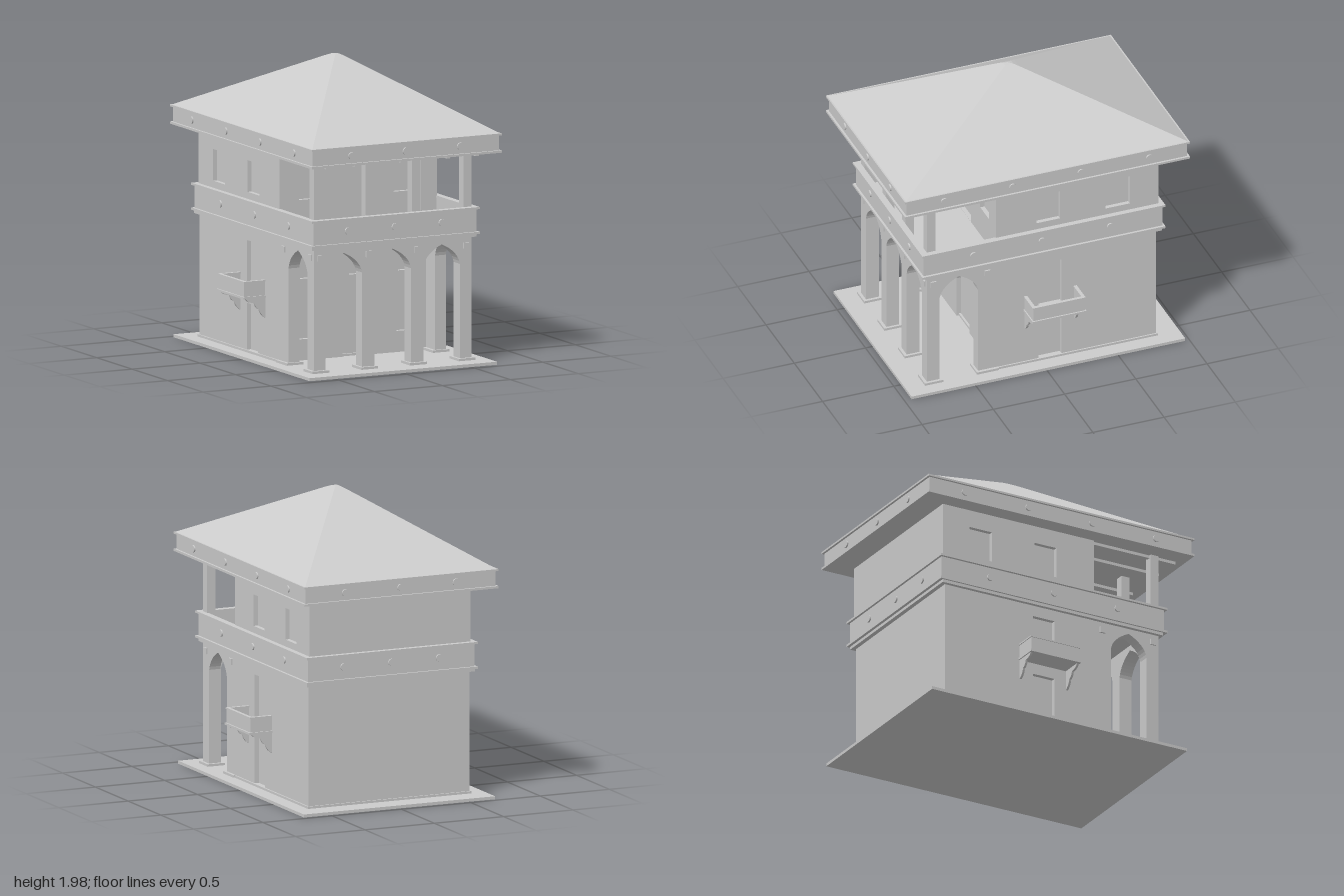
import * as THREE from 'three';

const mat = new THREE.MeshStandardMaterial({ color: 0xcccccc, flatShading: true });

export function createModel() {
  const root = new THREE.Group();
  root.name = 'house';

  const add = (name, geo) => {
    const m = new THREE.Mesh(geo, mat);
    m.name = name;
    root.add(m);
    return m;
  };
  // Box given by its limits
  const box = (name, x0, x1, y0, y1, z0, z1) =>
    add(name, new THREE.BoxGeometry(x1 - x0, y1 - y0, z1 - z0)
      .translate((x0 + x1) / 2, (y0 + y1) / 2, (z0 + z1) / 2));
  const rect = (P, u0, u1, v0, v1) => {
    const p = new P();
    p.moveTo(u0, v0).lineTo(u1, v0).lineTo(u1, v1).lineTo(u0, v1).closePath();
    return p;
  };
  const extrude = (shape, depth) =>
    new THREE.ExtrudeGeometry(shape, { depth, bevelEnabled: false, curveSegments: 8 });
  // Pointed arch from (u0, spring) over the apex to (u1, spring)
  const archTo = (p, u0, u1, spring, apex) => {
    const w = u1 - u0, h = apex - spring;
    p.lineTo(u0, spring);
    p.quadraticCurveTo(u0 + w * 0.06, spring + h * 0.62, (u0 + u1) / 2, apex);
    p.quadraticCurveTo(u1 - w * 0.06, spring + h * 0.62, u1, spring);
  };
  // Wall panel with rectangular openings [u0, u1, v0, v1]
  const panel = (u0, u1, v0, v1, openings) => {
    const s = rect(THREE.Shape, u0, u1, v0, v1);
    openings.forEach(o => s.holes.push(rect(THREE.Path, ...o)));
    return s;
  };
  // Arcade wall: a rectangle with arches cut up from its bottom edge
  const arcade = (u0, u1, bays) => {
    const s = new THREE.Shape();
    s.moveTo(u0, 0.02);
    for (const [a, b] of bays) {
      s.lineTo(a, 0.02);
      archTo(s, a, b, 0.66, 0.8);
      s.lineTo(b, 0.02);
    }
    s.lineTo(u1, 0.02).lineTo(u1, 0.84).lineTo(u0, 0.84).closePath();
    return s;
  };
  // The same wall on both sides of the house (shape u runs along z)
  const bothSides = (name, shape, depth, x) => {
    for (const side of [1, -1]) {
      add(name, extrude(shape, depth).rotateY(-Math.PI / 2))
        .position.x = side > 0 ? x : depth - x;
    }
  };
  // Horizontal rectangular frame, open in the middle
  const frame = (name, x, z0, z1, y0, y1, t) => {
    const s = panel(-x, x, -z1, -z0, [[t - x, x - t, t - z1, -z0 - t]]);
    add(name, extrude(s, y1 - y0).rotateX(-Math.PI / 2)).position.y = y0;
  };
  // Round stud facing along an axis
  const stud = (name, x, y, z, alongX) => {
    const g = new THREE.CylinderGeometry(0.024, 0.024, 0.02, 16);
    if (alongX) g.rotateZ(Math.PI / 2); else g.rotateX(Math.PI / 2);
    add(name, g.translate(x, y, z));
  };

  // Ground slab and plinth
  box('groundSlab', -0.69, 0.69, 0, 0.02, -0.97, 0.95);
  box('plinth', -0.59, 0.59, 0.015, 0.035, -0.82, 0.3);

  // Ground floor: core plus outer walls with recessed openings
  box('groundFloorCore', -0.55, 0.55, 0.02, 0.85, -0.81, 0.285);
  const front = panel(-0.58, 0.58, 0.005, 0.85, [
    [-0.445, -0.28, 0.16, 0.39], [0.28, 0.445, 0.16, 0.39],
    [-0.43, -0.29, 0.56, 0.735], [0.29, 0.43, 0.56, 0.735], [-0.07, 0.07, 0.56, 0.735]]);
  const door = new THREE.Path();
  door.moveTo(-0.115, 0.02);
  archTo(door, -0.115, 0.115, 0.31, 0.425);
  door.lineTo(0.115, 0.02).closePath();
  front.holes.push(door);
  add('groundFloorFront', extrude(front, 0.03)).position.z = 0.285;
  bothSides('groundFloorSide', panel(-0.81, 0.314, 0.005, 0.85,
    [[-0.145, 0.015, 0.035, 0.345], [-0.145, 0.015, 0.435, 0.76]]), 0.03, 0.58);

  // Porch arcade with column bases and small corbels
  add('frontArcade', extrude(arcade(-0.58, 0.58,
    [[-0.495, -0.225], [-0.135, 0.135], [0.225, 0.495]]), 0.09)).position.z = 0.71;
  bothSides('sideArcade', arcade(0.31, 0.75, [[0.44, 0.71]]), 0.08, 0.579);
  for (const x of [-0.5375, -0.18, 0.18, 0.5375]) {
    box('columnBase', x - 0.062, x + 0.062, 0.02, 0.036, 0.69, 0.82);
    box('corbel', x - 0.02, x + 0.02, 0.76, 0.8, 0.79, 0.81);
  }
  for (const s of [-1, 1]) {
    box('respondBase', s * 0.5375 - 0.062, s * 0.5375 + 0.062, 0.02, 0.036, 0.3, 0.455);
    for (const z of [0.375, 0.755])
      box('sideCorbel', s * 0.58 - 0.01, s * 0.58 + 0.01, 0.76, 0.8, z - 0.02, z + 0.02);
  }

  // Belt course, loggia floor and parapet
  box('loggiaFloor', -0.605, 0.605, 0.835, 0.855, -0.84, 0.82);
  box('beltLowerTrim', -0.617, 0.617, 0.855, 0.87, -0.86, 0.845);
  frame('parapet', 0.6, -0.845, 0.83, 0.87, 1.02, 0.025);
  frame('parapetRail', 0.617, -0.86, 0.845, 1.02, 1.034, 0.045);
  for (const i of [-1, 0, 1]) {
    stud('beltStud', i * 0.345, 0.95, 0.83, false);
    stud('beltStud', i * 0.345, 0.95, -0.845, false);
    for (const s of [-1, 1]) stud('beltStud', s * 0.6, 0.95, i * 0.48, true);
  }

  // Upper floor
  box('upperFloorCore', -0.55, 0.55, 0.86, 1.415, -0.825, 0.27);
  add('upperFloorFront', extrude(panel(-0.57, 0.57, 0.86, 1.415, [
    [-0.43, -0.265, 1.08, 1.29], [0.265, 0.43, 1.08, 1.29], [-0.098, 0.098, 0.872, 1.29],
  ]), 0.03)).position.z = 0.27;
  bothSides('upperFloorSide', panel(-0.825, 0.314, 0.86, 1.415,
    [[-0.135, 0.03, 1.08, 1.29], [-0.625, -0.455, 1.08, 1.29]]), 0.03, 0.58);
  for (const s of [-1, 1])
    box('cornerPilaster', s * 0.519 - 0.06, s * 0.519 + 0.06, 0.87, 1.415, 0.28, 0.315);

  // Loggia posts and ceiling beams
  for (const x of [-0.55, -0.17, 0.17, 0.55])
    box('loggiaPost', x - 0.03, x + 0.03, 0.865, 1.415, 0.74, 0.8);
  for (const x of [-0.55, -0.34, 0, 0.34, 0.55])
    box('ceilingBeam', x - 0.0125, x + 0.0125, 1.39, 1.415, 0.3, 0.935);

  // Eaves with studs
  box('eavesLowerTrim', -0.7, 0.7, 1.41, 1.425, -1, 1);
  box('eavesFascia', -0.685, 0.685, 1.425, 1.525, -0.985, 0.985);
  box('eavesUpperTrim', -0.7, 0.7, 1.525, 1.538, -1, 1);
  for (const s of [-1, 1]) {
    for (const x of [-0.4, 0, 0.4]) stud('eavesStud', x, 1.475, s * 0.985, false);
    for (const z of [-0.72, -0.24, 0.24, 0.72]) stud('eavesStud', s * 0.685, 1.475, z, true);
  }

  // Hipped roof with a softened tip
  const profile = [[1, 1.538], [0.06, 1.957], [0.03, 1.969], [0, 1.975]]
    .map(([r, y]) => new THREE.Vector2(r * Math.SQRT2, y));
  add('roof', new THREE.LatheGeometry(profile, 4, Math.PI / 4).scale(0.69, 1, 0.99).toNonIndexed());

  // Side balconies on scrolled brackets
  const bracket = new THREE.Shape();
  bracket.moveTo(0.57, 0.42).lineTo(0.725, 0.42);
  bracket.quadraticCurveTo(0.71, 0.39, 0.66, 0.388);
  bracket.quadraticCurveTo(0.65, 0.35, 0.625, 0.345);
  bracket.quadraticCurveTo(0.615, 0.3, 0.57, 0.28);
  bracket.closePath();
  for (const s of [-1, 1]) {
    const b = new THREE.Group();
    b.name = s > 0 ? 'leftBalcony' : 'rightBalcony';
    const start = root.children.length;
    box('balconyFloor', 0.57, 0.745, 0.42, 0.434, -0.255, 0.122);
    box('balconyFront', 0.722, 0.735, 0.43, 0.525, -0.247, 0.114);
    box('balconyFrontRail', 0.717, 0.74, 0.525, 0.535, -0.252, 0.119);
    for (const z of [-0.247, 0.101]) {
      box('balconySide', 0.57, 0.73, 0.43, 0.525, z, z + 0.013);
      box('balconySideRail', 0.57, 0.73, 0.525, 0.535, z - 0.005, z + 0.018);
      add('balconyBracket', extrude(bracket, 0.015)).position.z = z;
    }
    b.add(...root.children.slice(start));
    if (s < 0) b.scale.x = -1;
    root.add(b);
  }
  return root;
}
